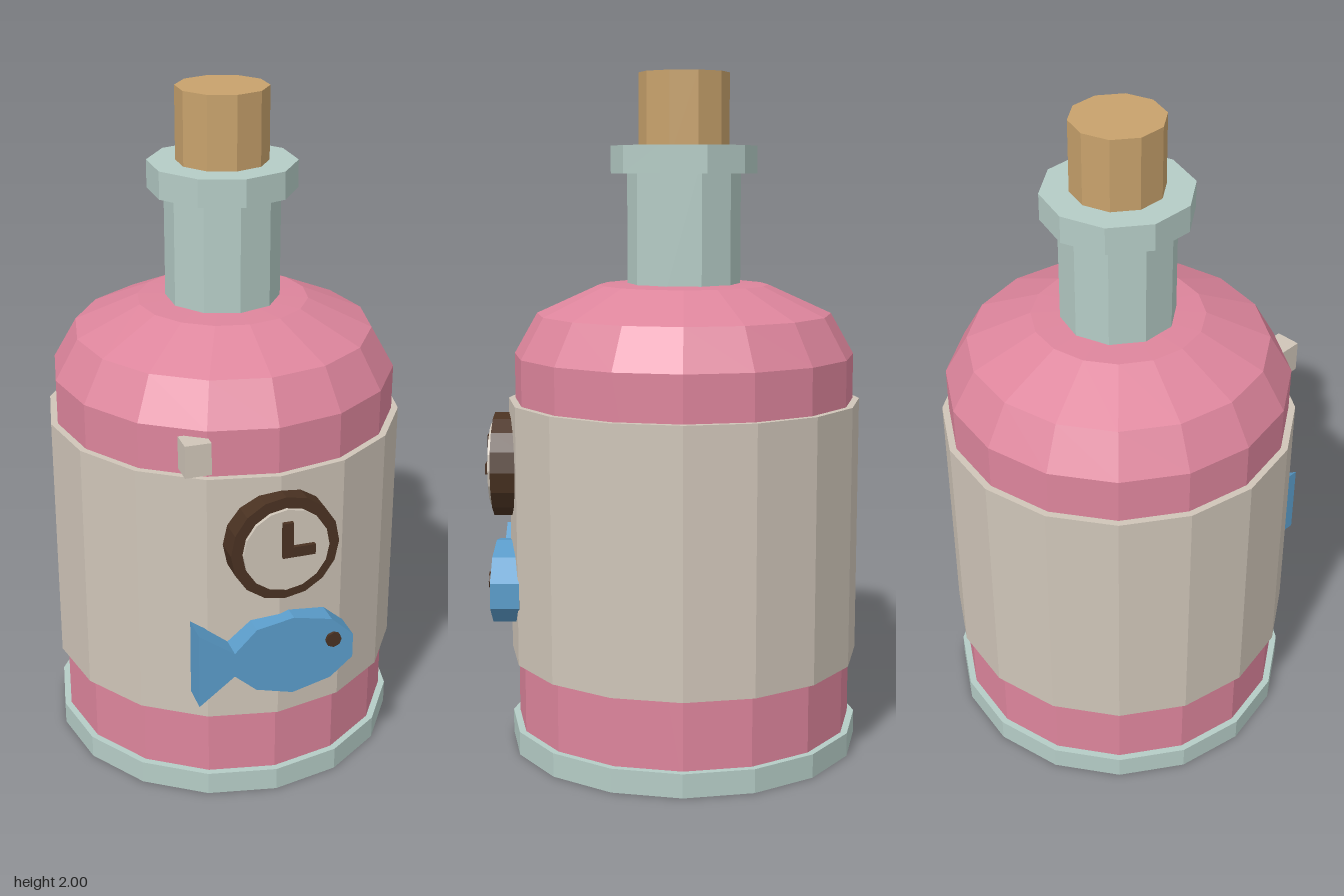
import * as THREE from 'three';

const mat = (name, color) => {
  const m = new THREE.MeshStandardMaterial({ color, flatShading: true });
  m.name = name;
  return m;
};

export function createModel() {
  const pink = mat('pink liquid', 0xdd859c);
  const glass = mat('pale glass', 0xb5ccc6);
  const cream = mat('cream paper', 0xcfc5b8);
  const corkMat = mat('cork', 0xc8a26c);
  const blue = mat('fish blue', 0x5b9dcb);
  const brown = mat('dark brown', 0x4a3222);

  const model = new THREE.Group();
  model.name = 'bottle';
  const bottle = new THREE.Group();
  bottle.name = 'vessel';
  bottle.position.z = -0.035;
  model.add(bottle);

  const add = (parent, name, geometry, material, x = 0, y = 0, z = 0) => {
    const mesh = new THREE.Mesh(geometry, material);
    mesh.name = name;
    mesh.position.set(x, y, z);
    parent.add(mesh);
    return mesh;
  };
  // Upright prism between two heights
  const prism = (name, r, y0, y1, sides, material) =>
    add(bottle, name, new THREE.CylinderGeometry(r, r, y1 - y0, sides), material, 0, (y0 + y1) / 2, 0);
  // Disc facing the front, between two depths
  const disc = (name, r, z0, z1, sides, material, x, y) => {
    const g = new THREE.CylinderGeometry(r, r, z1 - z0, sides).rotateX(Math.PI / 2);
    return add(model, name, g, material, x, y, (z0 + z1) / 2);
  };
  // Box from its limits
  const box = (name, x0, x1, y0, y1, z0, z1, material) =>
    add(model, name, new THREE.BoxGeometry(x1 - x0, y1 - y0, z1 - z0), material,
      (x0 + x1) / 2, (y0 + y1) / 2, (z0 + z1) / 2);

  // Body with stepped shoulders
  const profile = [[0, 0.03], [0.505, 0.03], [0.505, 1.18], [0.437, 1.3], [0.25, 1.385], [0, 1.397]]
    .map(([r, y]) => new THREE.Vector2(r, y));
  add(bottle, 'body', new THREE.LatheGeometry(profile, 16), pink);
  prism('base', 0.525, 0, 0.07, 16, glass);
  prism('label', 0.525, 0.275, 1.045, 16, cream);

  // Neck, lip and stopper
  prism('neck', 0.167, 1.37, 1.75, 10, glass);
  prism('lip', 0.215, 1.71, 1.79, 10, glass);
  prism('stopper', 0.133, 1.75, 2, 10, corkMat);

  // Clock on the label
  disc('clockRim', 0.158, 0.44, 0.532, 16, brown, 0, 0.843);
  disc('clockFace', 0.125, 0.5, 0.543, 16, cream, 0, 0.843);
  box('minuteHand', -0.015, 0.015, 0.825, 0.932, 0.53, 0.555, brown);
  box('hourHand', 0.015, 0.08, 0.825, 0.856, 0.53, 0.555, brown);

  // Fish below the clock
  const outline = [[-0.25, 0.605], [-0.25, 0.372], [-0.145, 0.453], [-0.08, 0.395], [0.03, 0.364],
    [0.145, 0.393], [0.212, 0.45], [0.212, 0.525], [0.145, 0.588], [0.03, 0.614], [-0.08, 0.594],
    [-0.145, 0.528]].map(([x, y]) => new THREE.Vector2(x, y));
  const fish = new THREE.ExtrudeGeometry(new THREE.Shape(outline), { depth: 0.085, bevelEnabled: false });
  add(model, 'fish', fish, blue, 0, 0, 0.445);
  disc('fishEye', 0.024, 0.525, 0.538, 8, brown, 0.15, 0.522);

  // Small tag on the shoulder
  box('tag', -0.265, -0.19, 1.065, 1.16, 0.395, 0.463, cream);

  return model;
}
